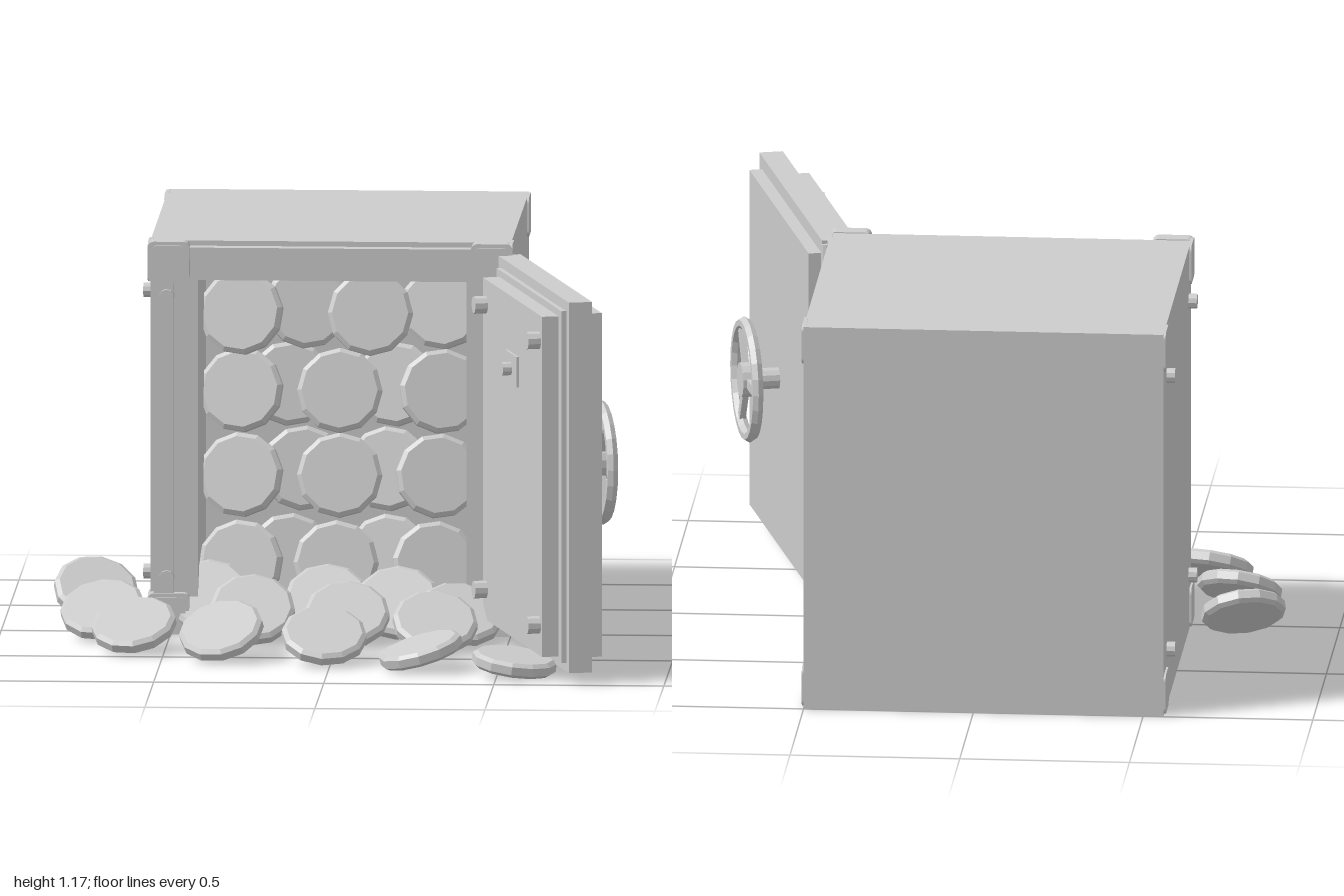
import * as THREE from 'three';

export function createModel() {
  const model = new THREE.Group();
  const grey = new THREE.MeshStandardMaterial({ color: 0xcccccc, flatShading: true });

  const add = (name, geo, x = 0, y = 0, z = 0, parent = model) => {
    const m = new THREE.Mesh(geo, grey);
    m.name = name;
    m.position.set(x, y, z);
    parent.add(m);
    return m;
  };
  // box given by its limits
  const box = (name, x0, x1, y0, y1, z0, z1, parent = model) =>
    add(name, new THREE.BoxGeometry(x1 - x0, y1 - y0, z1 - z0), (x0 + x1) / 2, (y0 + y1) / 2, (z0 + z1) / 2, parent);
  // rectangular frame with a rectangular opening
  const frame = (name, o, h, z0, z1) => {
    const rect = (C, [x0, x1, y0, y1]) =>
      new C([[x0, y0], [x1, y0], [x1, y1], [x0, y1]].map(p => new THREE.Vector2(...p)));
    const s = rect(THREE.Shape, o);
    s.holes.push(rect(THREE.Path, h));
    return add(name, new THREE.ExtrudeGeometry(s, { depth: z1 - z0, bevelEnabled: false }), 0, 0, z0);
  };
  // plate with rounded corners, thickness along z
  const roundPlate = (w, d) => {
    const s = new THREE.Shape(), a = w / 2, r = 0.018;
    s.absarc(a - r, a - r, r, 0, Math.PI / 2);
    s.absarc(r - a, a - r, r, Math.PI / 2, Math.PI);
    s.absarc(r - a, r - a, r, Math.PI, Math.PI * 1.5);
    s.absarc(a - r, r - a, r, Math.PI * 1.5, Math.PI * 2);
    return new THREE.ExtrudeGeometry(s, { depth: d, bevelEnabled: false, curveSegments: 3 }).translate(0, 0, -d / 2);
  };

  // safe body
  const L = -0.56, R = 0.5;
  box('bodyBack', L, R, 0.005, 1.17, -1, -0.42);
  frame('bodyShell', [L, R, 0.005, 1.17], [-0.42, 0.37, 0.1, 1.055], -0.42, 0.02);
  frame('innerDoorFrame', [-0.55, 0.49, 0.02, 1.155], [-0.42, 0.37, 0.1, 1.055], 0.02, 0.035);
  frame('outerDoorFrame', [-0.55, 0.49, 0.02, 1.155], [-0.49, 0.43, 0.07, 1.12], 0.035, 0.06);

  // corner guards and bolts
  for (const y of [0.068, 1.112]) {
    for (const x of [-0.505, 0.445]) {
      add('frontCornerGuard', roundPlate(0.122, 0.05), x, y, 0.045);
      add('frontCornerGuardFace', roundPlate(0.1, 0.008), x, y, 0.072);
    }
    for (const x of [L, R]) for (const z of [-0.935, 0.01])
      add('sideCornerGuard', roundPlate(0.118, 0.012).rotateY(Math.PI / 2), x, y, z);
  }
  for (const y of [0.175, 1.01]) {
    for (const z of [-0.87, -0.065])
      add('sideBolt', new THREE.CylinderGeometry(0.022, 0.022, 0.05, 10).rotateZ(Math.PI / 2), -0.56, y, z);
    add('frontBolt', new THREE.CylinderGeometry(0.022, 0.022, 0.05, 10).rotateX(Math.PI / 2), -0.51, y, 0.05);
  }

  // hinges
  add('hingeRod', new THREE.CylinderGeometry(0.018, 0.018, 1.08, 10), 0.515, 0.59, 0.045);
  for (const y of [0.245, 0.945]) box('hinge', 0.49, 0.545, y - 0.055, y + 0.055, -0.025, 0.045);

  // open door: local -x runs away from the hinge, local +z is the outside
  const door = new THREE.Group();
  door.name = 'door';
  door.position.set(0.495, 0, 0.05);
  door.rotation.y = THREE.MathUtils.degToRad(105.5);
  model.add(door);
  box('doorFlange', -0.97, 0, 0.04, 1.14, -0.035, 0.035, door);
  box('doorInnerStep', -0.935, -0.06, 0.065, 1.11, -0.05, -0.035, door);
  box('doorInnerPanel', -0.9, -0.1, 0.08, 1.09, -0.1, -0.05, door);
  box('doorOuterPanel', -0.93, -0.01, 0.08, 1.1, 0.035, 0.073, door);
  for (const x of [-0.14, -0.86]) for (const y of [0.17, 1.015])
    add('doorBolt', new THREE.CylinderGeometry(0.026, 0.026, 0.045, 10).rotateX(Math.PI / 2), x, y, -0.115, door);
  box('lockPlate', -0.59, -0.43, 0.835, 0.925, -0.108, -0.1, door);
  add('lockKnob', new THREE.CylinderGeometry(0.02, 0.02, 0.03, 10).rotateX(Math.PI / 2), -0.51, 0.88, -0.12, door);

  // hand wheel
  const wheel = new THREE.Group();
  wheel.name = 'handWheel';
  wheel.position.set(-0.482, 0.59, 0.167);
  door.add(wheel);
  add('wheelRim', new THREE.TorusGeometry(0.168, 0.018, 6, 24), 0, 0, 0, wheel);
  add('wheelHub', new THREE.CylinderGeometry(0.052, 0.052, 0.04, 14).rotateX(Math.PI / 2), 0, 0, 0, wheel);
  add('wheelShaft', new THREE.CylinderGeometry(0.032, 0.032, 0.1, 12).rotateX(Math.PI / 2), 0, 0, -0.05, wheel);
  for (let i = 0; i < 3; i++) {
    const spoke = new THREE.BoxGeometry(0.15, 0.028, 0.018).translate(0.09, 0, 0);
    add('wheelSpoke', spoke.rotateZ(i * Math.PI * 2 / 3), 0, 0, 0, wheel);
  }

  // coins
  const profile = [[0, -0.022], [0.112, -0.022], [0.125, -0.012], [0.125, 0.012], [0.112, 0.022], [0, 0.022]];
  const coinGeo = new THREE.LatheGeometry(profile.map(p => new THREE.Vector2(...p)), 12);
  const up = new THREE.Vector3(0, 1, 0);
  // tilt: degrees the face leans from straight up, turn: heading of the lean from +z towards +x
  const coin = (x, y, z, tilt, turn) => {
    const t = THREE.MathUtils.degToRad(tilt), a = THREE.MathUtils.degToRad(turn);
    const n = new THREE.Vector3(Math.sin(t) * Math.sin(a), Math.cos(t), Math.sin(t) * Math.cos(a));
    add('coin', coinGeo, x, y, z).quaternion.setFromUnitVectors(up, n);
  };

  // coins piled inside, in leaning rows
  const rows = [
    [0.91, -0.3, [-0.31, 0.07], [-0.12, 0.28]],
    [0.68, -0.3, [-0.31, -0.02, 0.28], [-0.17, 0.14]],
    [0.43, -0.29, [-0.31, -0.02, 0.27], [-0.13, 0.12]],
    [0.2, -0.09, [-0.3, -0.02, 0.27], [-0.16, 0.13]],
  ];
  for (const [y, z, front, back] of rows) {
    front.forEach((x, i) => coin(x, y, z, 76, i * 8 - 8));
    back.forEach((x, i) => coin(x, y + 0.01, z - 0.07, 76, 6 - i * 12));
  }

  // coins spilled on the ground: x, z, tilt, turn
  const spilled = [
    [-0.73, -0.18, 40, 15], [-0.695, 0.12, 32, -12], [-0.59, 0.38, 28, -15], [-0.325, 0.535, 33, -20],
    [-0.02, 0.59, 30, 8], [0.27, 0.7, 17, -70], [0.55, 0.81, 9, 60], [-0.25, 0.215, 43, 5],
    [0.03, 0.25, 38, 5], [0.295, 0.37, 35, 10], [0.36, 0.2, 35, 20],
    [-0.39, 0.01, 48, 0], [-0.04, 0.05, 46, 0], [0.17, 0.08, 46, 0],
  ];
  for (const [x, z, tilt, turn] of spilled) {
    const t = THREE.MathUtils.degToRad(tilt);
    coin(x, 0.008 + 0.122 * Math.sin(t) + 0.018 * Math.cos(t), z, tilt, turn);
  }

  return model;
}
